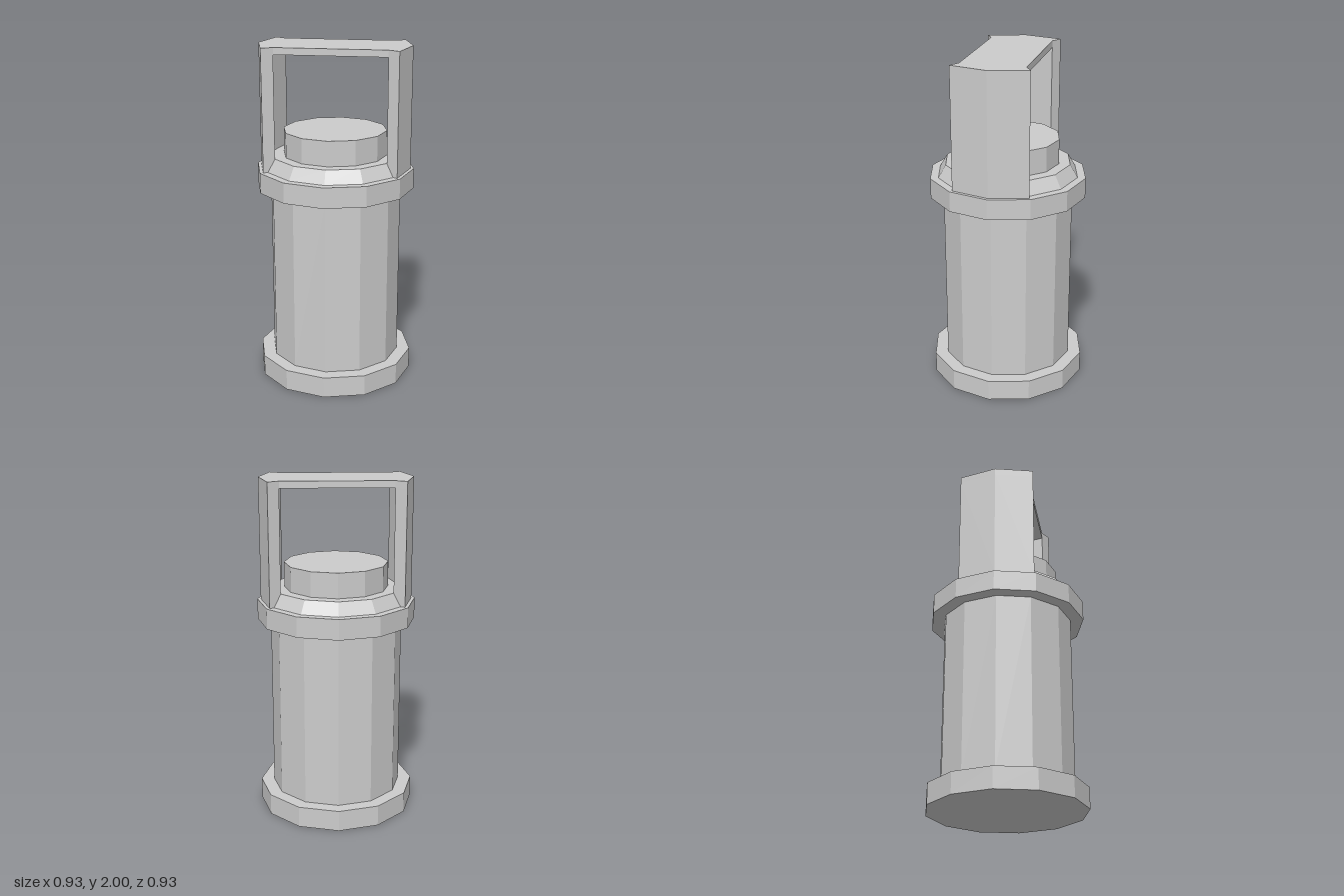
import * as THREE from 'three';

const SIDES = 12;
const material = new THREE.MeshStandardMaterial({ color: 0xcccccc, flatShading: true });

// Corner of the twelve-sided outline, at a multiple of 30 degrees from +x
const corner = (radius, step) => {
  const a = (step * Math.PI * 2) / SIDES;
  return new THREE.Vector2(radius * Math.cos(a), radius * Math.sin(a));
};

function addMesh(group, name, geometry) {
  const mesh = new THREE.Mesh(geometry, material);
  mesh.name = name;
  group.add(mesh);
}

// Twelve-sided drum between two heights
function addDrum(group, name, y0, y1, bottomRadius, topRadius = bottomRadius) {
  const geometry = new THREE.CylinderGeometry(topRadius, bottomRadius, y1 - y0, SIDES);
  geometry.translate(0, (y0 + y1) / 2, 0);
  addMesh(group, name, geometry);
}

// Plan outline raised between two heights
function addPrism(group, name, points, y0, y1) {
  const geometry = new THREE.ExtrudeGeometry(new THREE.Shape(points), { depth: y1 - y0, bevelEnabled: false });
  geometry.rotateX(-Math.PI / 2).translate(0, y0, 0);
  addMesh(group, name, geometry);
}

export function createModel() {
  const model = new THREE.Group();
  model.name = 'canister';

  // Stacked body
  addDrum(model, 'baseRing', 0, 0.125, 0.465);
  addDrum(model, 'body', 0.125, 1.165, 0.387);
  addDrum(model, 'upperRing', 1.165, 1.285, 0.465);
  addDrum(model, 'shoulder', 1.285, 1.36, 0.417, 0.372);
  addDrum(model, 'cap', 1.36, 1.507, 0.305);

  // Handle: two curved uprights joined by a flat grip
  const handle = new THREE.Group();
  handle.name = 'handle';
  const outer = 0.445, inner = 0.372;
  const outline = [];
  for (const [name, mid] of [['leftUpright', 0], ['rightUpright', 6]]) {
    const outerArc = [-1, 0, 1].map((s) => corner(outer, mid + s));
    const innerArc = [1, 0, -1].map((s) => corner(inner, mid + s));
    addPrism(handle, name, [...outerArc, ...innerArc], 1.285, 1.96);
    outline.push(innerArc[2], ...outerArc, innerArc[0]);
  }
  addPrism(handle, 'grip', outline, 1.96, 2);
  model.add(handle);

  return model;
}
